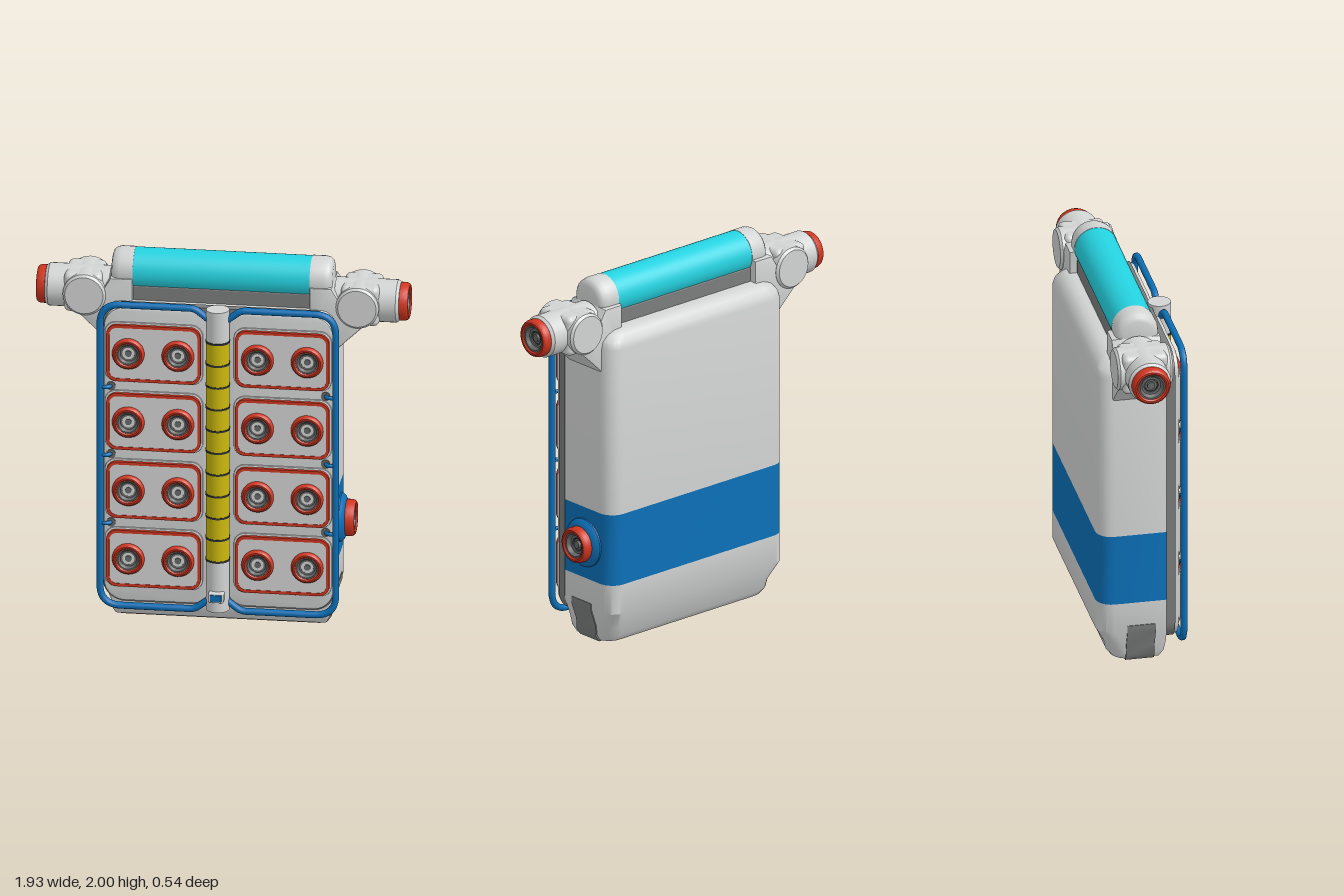
import * as THREE from 'three';
import { toCreasedNormals } from 'three/addons/utils/BufferGeometryUtils.js';
import { RoundedBoxGeometry } from 'three/addons/geometries/RoundedBoxGeometry.js';

const mat = (name, color, side = THREE.FrontSide) =>
  Object.assign(new THREE.MeshStandardMaterial({ color, side }), { name });

export function createModel() {
  const shell = mat('light grey shell', 0xd2d4d3);
  const grey = mat('dark grey', 0x7b7c7c);
  const steel = mat('socket grey', 0x666968, THREE.DoubleSide);
  const black = mat('near black', 0x2e3133);
  const blue = mat('blue', 0x0b70b8);
  const cyan = mat('cyan', 0x25d2e0);
  const yellow = mat('yellow', 0xccb90c);
  const red = mat('red', 0xd0351f);

  const root = new THREE.Group();
  const V = (x, y) => new THREE.Vector2(x, y);
  const add = (name, geo, material, x = 0, y = 0, z = 0, parent = root) => {
    const m = new THREE.Mesh(geo, material);
    m.name = name;
    m.position.set(x, y, z);
    parent.add(m);
    return m;
  };
  const box = (w, h, d, r = 0.01) => new RoundedBoxGeometry(w, h, d, 3, r);
  // Profile [radius, height] turned around the z axis
  const latheZ = (pts, n = 32) =>
    toCreasedNormals(new THREE.LatheGeometry(pts.map(p => V(p[0], p[1])), n).rotateX(Math.PI / 2), 0.6);
  const roundRect = (w, h, r, Type = THREE.Shape) => {
    const s = new Type(), a = w / 2 - r, b = h / 2 - r;
    s.absarc(a, b, r, 0, Math.PI / 2);
    s.absarc(-a, b, r, Math.PI / 2, Math.PI);
    s.absarc(-a, -b, r, Math.PI, Math.PI * 1.5);
    s.absarc(a, -b, r, Math.PI * 1.5, Math.PI * 2);
    s.closePath();
    return s;
  };
  const extrude = (shape, depth, bevel = 0) => toCreasedNormals(new THREE.ExtrudeGeometry(shape, {
    depth: depth - bevel, curveSegments: 8, bevelEnabled: bevel > 0,
    bevelSize: bevel, bevelThickness: bevel, bevelOffset: -bevel, bevelSegments: 2 }), 0.6);

  // Cross-sections of the case, bottom to top: [y, half width, front z, back z]
  const loft = (rows) => {
    const pos = [], idx = [], ring = [];
    for (const [y, w, f, b] of rows) {
      const pts = [];
      for (const [cx, cz, r, start] of [
        [w - 0.015, f - 0.015, 0.015, 0], [-w + 0.015, f - 0.015, 0.015, 1],
        [-w + 0.085, b + 0.085, 0.085, 2], [w - 0.085, b + 0.085, 0.085, 3]])
        for (let i = 0; i <= 6; i++) {
          const t = (start + i / 6) * Math.PI / 2;
          pts.push([cx + r * Math.cos(t), y, cz + r * Math.sin(t)]);
        }
      ring.push(pts);
    }
    const n = ring[0].length;
    ring.forEach(p => pos.push(...p.flat()));
    for (let k = 0; k < rows.length - 1; k++)
      for (let i = 0; i < n; i++) {
        const a = k * n + i, b = k * n + (i + 1) % n;
        idx.push(a, a + n, b, b, a + n, b + n);
      }
    const top = (rows.length - 1) * n;
    for (let i = 1; i < n - 1; i++) idx.push(0, i, i + 1, top, top + i + 1, top + i);
    const g = new THREE.BufferGeometry();
    g.setAttribute('position', new THREE.Float32BufferAttribute(pos, 3));
    g.setIndex(idx);
    return toCreasedNormals(g, 0.55);
  };
  const full = (y) => [y, 0.605, 0.1, -0.265];
  add('lowerCase', loft([[0, 0.52, 0.04, -0.145], [0.015, 0.55, 0.07, -0.175], [0.05, 0.565, 0.09, -0.2],
    [0.1, 0.57, 0.1, -0.213], [0.2, 0.605, 0.1, -0.265], full(0.36)]), shell);
  add('blueBand', loft([full(0.36), full(0.75)]), blue);
  add('upperCase', loft([full(0.75), full(1.66), [1.695, 0.597, 0.1, -0.257], [1.725, 0.575, 0.1, -0.235],
    [1.745, 0.548, 0.1, -0.208], [1.75, 0.52, 0.1, -0.18]]), shell);
  add('backingPlate', extrude(roundRect(1.21, 1.65, 0.12), 0.045), grey, 0, 0.935, 0.095);

  // Socket facing +z with a red rim and a stepped recess
  const socket = (r, len, name) => {
    const g = new THREE.Group();
    g.name = name;
    add('socketRim', latheZ([[r * 0.9, 0], [r, 0.002], [r, len * 0.6], [r * 0.95, len * 0.88], [r * 0.87, len],
      [r * 0.78, len], [r * 0.7, len * 0.85], [r * 0.68, len * 0.3]].map(p => [p[0], p[1]])), red, 0, 0, 0, g);
    add('socketBowl', latheZ([[r * 0.7, len * 0.82], [r * 0.62, len * 0.8], [r * 0.5, len * 0.4],
      [r * 0.38, len * 0.38], [r * 0.36, len * 0.2], [0, len * 0.2]].reverse()), steel, 0, 0, 0, g);
    add('socketGroove', new THREE.RingGeometry(r * 0.29, r * 0.36, 24), black, 0, 0, len * 0.3, g);
    add('socketPin', latheZ([[r * 0.2, 0], [r * 0.2, len * 0.5], [0, len * 0.5]], 20), steel, 0, 0, 0, g);
    root.add(g);
    return g;
  };

  const rows = [0.365, 0.745, 1.125, 1.505];
  const frame = roundRect(0.49, 0.312, 0.055);
  frame.holes.push(roundRect(0.458, 0.28, 0.04, THREE.Path));
  const frameGeo = extrude(frame, 0.024);
  const padGeo = extrude(roundRect(0.48, 0.302, 0.05), 0.021);
  const rimGeo = extrude(roundRect(0.51, 0.332, 0.06), 0.01, 0.004);

  for (const s of [-1, 1]) {
    // Front panels with eight sockets on each side
    add('frontPanel', extrude(roundRect(0.565, 1.63, 0.11), 0.025, 0.012), shell, s * 0.315, 0.935, 0.138);
    for (const y of rows) {
      add('panelStep', rimGeo, shell, s * 0.335, y, 0.162);
      add('panelFrame', frameGeo, red, s * 0.335, y, 0.166);
      add('panelPad', padGeo, shell, s * 0.335, y, 0.166);
      for (const x of [0.207, 0.465]) socket(0.084, 0.04, 'panelSocket').position.set(s * x, y, 0.172);
    }

    // Bent guard pipe
    const path = new THREE.CurvePath();
    const P = (x, y) => new THREE.Vector3(s * x, y, 0.185);
    const pts = [P(0.04, 0.165), P(0.12, 0.103), P(0.613, 0.103), P(0.613, 1.773), P(0.12, 1.773), P(0.04, 1.71)];
    const cut = [0, 0.03, 0.12, 0.12, 0.03, 0];
    let last = pts[0];
    for (let i = 1; i < pts.length - 1; i++) {
      const a = pts[i].clone().add(pts[i - 1].clone().sub(pts[i]).setLength(cut[i]));
      const b = pts[i].clone().add(pts[i + 1].clone().sub(pts[i]).setLength(cut[i]));
      path.add(new THREE.LineCurve3(last, a));
      path.add(new THREE.QuadraticBezierCurve3(a, pts[i].clone().lerp(a.clone().lerp(b, 0.5), -0.08), b));
      last = b;
    }
    path.add(new THREE.LineCurve3(last, pts[5]));
    add('guardPipe', new THREE.TubeGeometry(path, 160, 0.018, 10), blue);
    for (const y of [0.555, 0.935, 1.312]) {
      const strut = new THREE.CatmullRomCurve3([P(0.613, y), P(0.572, y), new THREE.Vector3(s * 0.555, y, 0.155)]);
      add('pipeStrut', new THREE.TubeGeometry(strut, 10, 0.011, 8), blue);
      add('strutFoot', latheZ([[0.024, 0], [0.024, 0.01], [0, 0.01]], 16), steel, s * 0.558, y, 0.16);
    }

    // Shoulder bracket, pivot and side arm
    const brace = new THREE.Shape([[0.46, 1.68], [0.56, 1.56], [0.605, 1.535], [0.645, 1.575], [0.75, 1.675],
      [0.71, 1.86], [0.61, 1.81], [0.575, 1.87], [0.46, 1.87]].map(p => V(s * p[0], p[1])));
    add('shoulderBrace', extrude(brace, 0.25, 0.01), shell, 0, 0, -0.18);
    add('pivot', latheZ([[0, -0.145], [0.1, -0.145], [0.112, -0.132], [0.112, 0.132], [0.1, 0.145], [0, 0.145]]),
      shell, s * 0.71, 1.772, -0.06);
    add('pivotBlock', box(0.2, 0.215, 0.24, 0.03), shell, s * 0.72, 1.772, -0.06);
    const arm = add('sideArm', latheZ([[0, 0], [0.112, 0], [0.112, 0.32], [0.1, 0.335], [0, 0.335]]),
      shell, s * 0.585, 1.772, -0.058);
    arm.rotation.y = s * Math.PI / 2;
    const end = socket(0.1, 0.048, 'armSocket');
    end.position.set(s * 0.919, 1.772, -0.058);
    end.rotation.y = s * Math.PI / 2;

    // Rounded cap on the top roll
    const cap = add('rollCap', latheZ([[0, 0], [0.115, 0], [0.115, 0.07], [0.109, 0.095], [0.095, 0.109], [0.075, 0.115], [0, 0.115]]),
      shell, s * 0.46, 1.885, -0.05);
    cap.rotation.y = s * Math.PI / 2;

    // Dark insert at the foot of each side
    const insert = new THREE.Shape([[0.5, 0.008], [0.55, 0.008], [0.572, 0.04], [0.576, 0.1], [0.609, 0.195],
      [0.609, 0.23], [0.5, 0.23]].map(p => V(s * p[0], p[1])));
    add('footInsert', extrude(insert, 0.15), grey, 0, 0, -0.112);
  }

  // Top roll and its cradle
  add('topRoll', new THREE.CylinderGeometry(0.113, 0.113, 0.92, 40).rotateZ(Math.PI / 2), cyan, 0, 1.885, -0.05);
  add('rollCradle', box(0.93, 0.13, 0.2), grey, 0, 1.765, -0.05);

  // Central column with a segmented yellow gauge
  add('column', toCreasedNormals(new THREE.CylinderGeometry(0.06, 0.06, 1.665, 28), 0.6), shell, 0, 0.9425, 0.185);
  add('gauge', new THREE.CylinderGeometry(0.0615, 0.0615, 1.21, 28, 1, true), yellow, 0, 0.995, 0.185);
  for (let i = 0; i <= 10; i++)
    add('gaugeRing', new THREE.CylinderGeometry(0.064, 0.064, 0.01, 28), black, 0, 0.39 + i * 0.121, 0.185);
  add('buttonBlock', box(0.08, 0.055, 0.06, 0.008), shell, 0, 0.2, 0.24);
  add('button', box(0.06, 0.036, 0.008, 0.002), blue, 0, 0.2, 0.27);

  // Side port on a blue dome
  const dome = add('portDome', latheZ([[0.132, -0.01], [0.13, 0.008], [0.115, 0.024], [0.095, 0.034], [0, 0.036]]),
    blue, 0.605, 0.555, -0.058);
  dome.rotation.y = Math.PI / 2;
  const port = socket(0.096, 0.052, 'sidePort');
  port.position.set(0.635, 0.555, -0.058);
  port.rotation.y = Math.PI / 2;

  return root;
}
